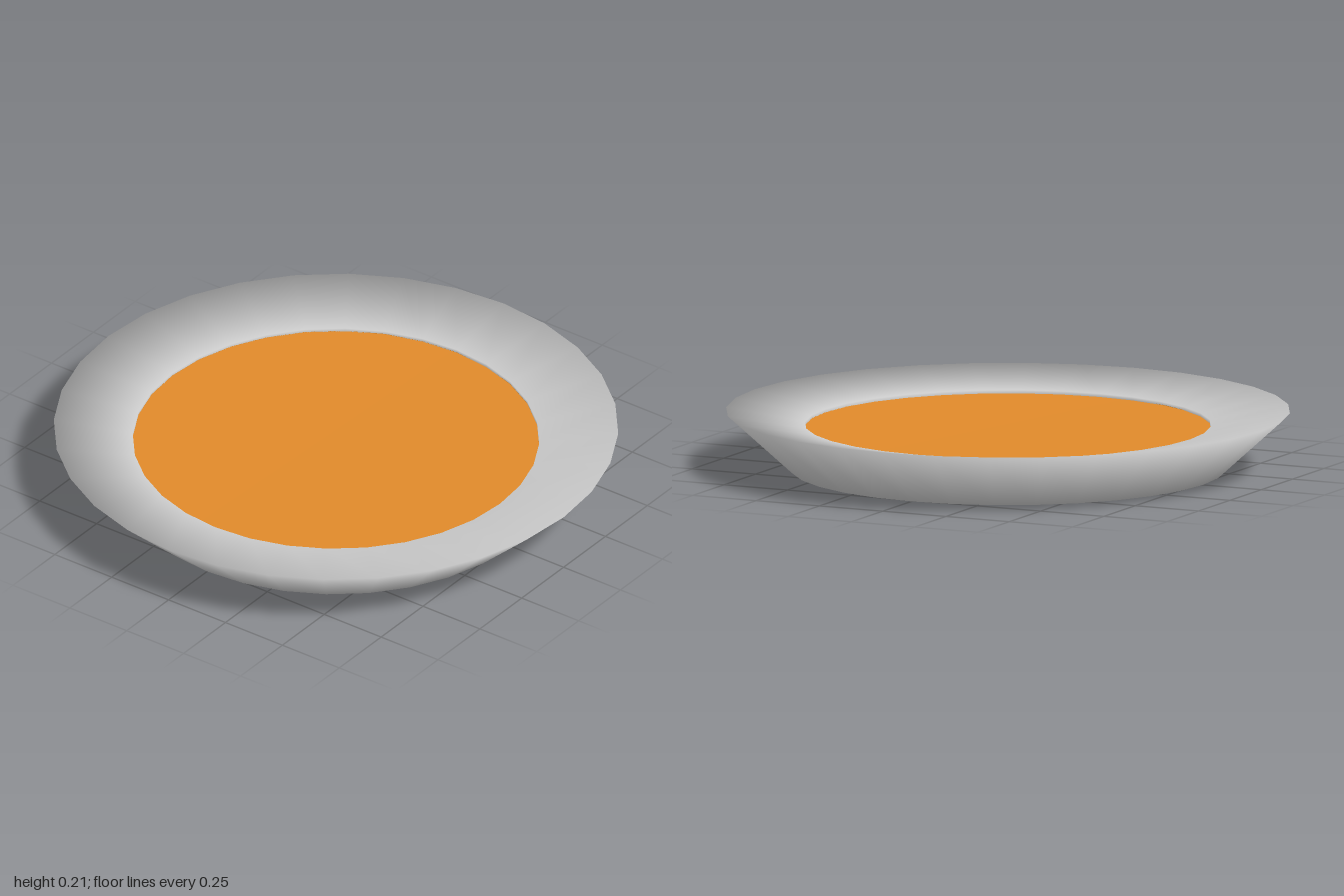
import * as THREE from 'three';

const SIDES = 32;

// Smooth turned part from [radius, height] pairs
function turned(name, profile, color) {
  const points = profile.map(([r, y]) => new THREE.Vector2(r, y));
  const mesh = new THREE.Mesh(
    new THREE.LatheGeometry(points, SIDES),
    new THREE.MeshStandardMaterial({ color, side: THREE.DoubleSide })
  );
  mesh.name = name;
  return mesh;
}

export function createModel() {
  const group = new THREE.Group();
  group.name = 'pie';

  // Base, flared wall, sloping rim and the small lip around the filling
  group.add(turned('crust', [
    [0, 0], [0.77, 0], [1, 0.21], [0.72, 0.16], [0.72, 0.145],
  ], 0xcccccc));

  // Flat filling; its tiny upturned edge softens the shading like a shallow bowl
  group.add(turned('filling', [
    [0.72, 0.15], [0.72, 0.148], [0, 0.148],
  ], 0xe08a2a));

  return group;
}
